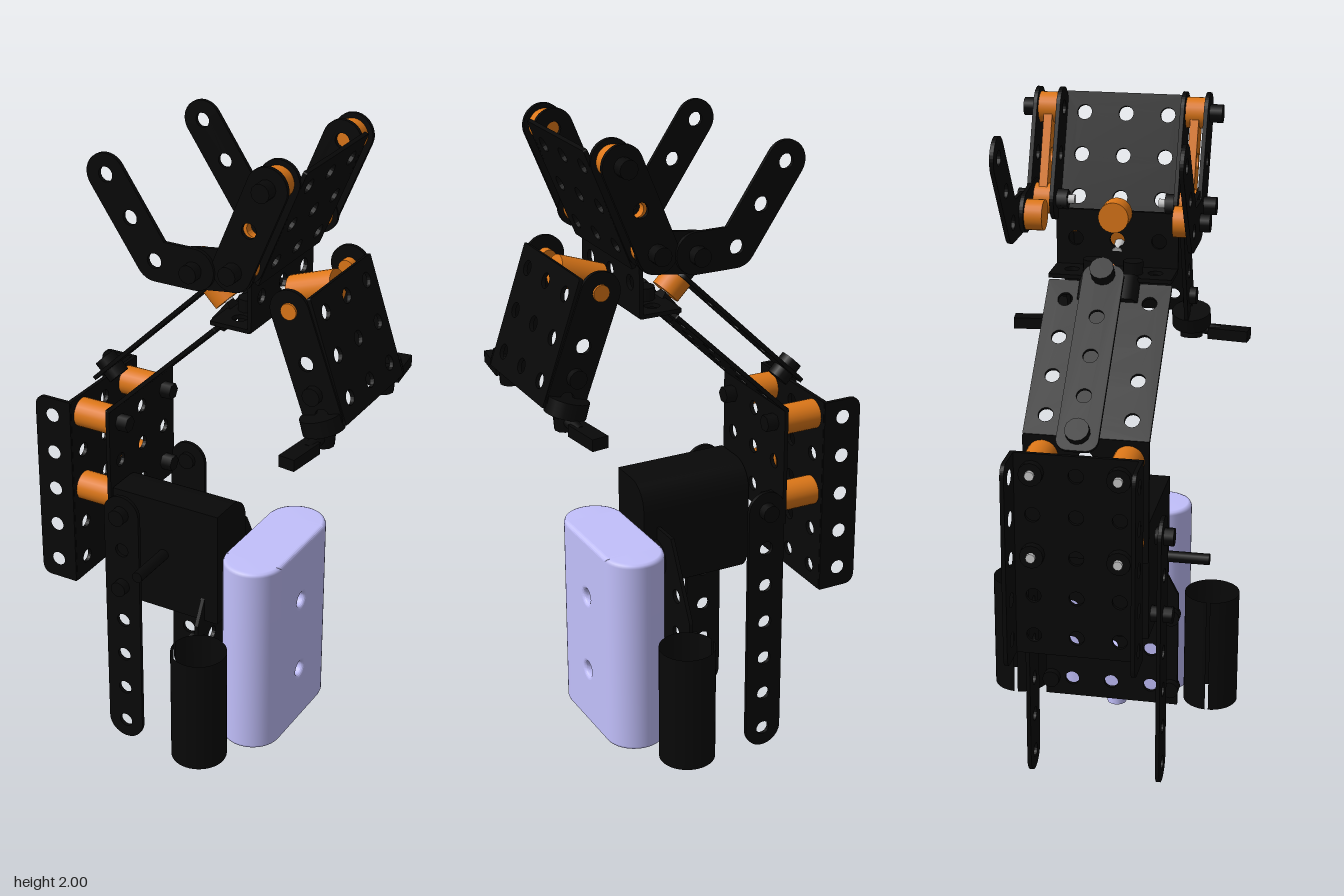
import * as THREE from 'three';

const mat = (color, side = THREE.FrontSide) => new THREE.MeshStandardMaterial({ color, side });
const BLACK = mat(0x080808), ORANGE = mat(0xdd7718), LILAC = mat(0xc2c0fc), GREY = mat(0xcccccc);
const THIN = mat(0x080808, THREE.DoubleSide);
const T = 0.012, PITCH = 0.125, HOLE = 0.022, Z0 = -0.012;
const V = (x, y, z = 0) => new THREE.Vector3(x, y, z);

export function createModel() {
  const root = new THREE.Group();

  const add = (name, geo, material = BLACK) => {
    const m = new THREE.Mesh(geo, material);
    m.name = name;
    root.add(m);
    return m;
  };
  const punch = (shape, x, y, r = HOLE) => {
    const p = new THREE.Path();
    p.absarc(x, y, r, 0, Math.PI * 2, true);
    shape.holes.push(p);
  };
  const extrude = (shape, depth = T) =>
    new THREE.ExtrudeGeometry(shape, { depth, bevelEnabled: false, curveSegments: 10 }).translate(0, 0, -depth / 2);

  // cylinder between two points
  const rod = (name, a, b, r, material = BLACK, sides = 24) => {
    const d = b.clone().sub(a);
    const m = add(name, new THREE.CylinderGeometry(r, r, d.length(), sides), material);
    m.position.copy(a).addScaledVector(d, 0.5);
    m.quaternion.setFromUnitVectors(V(0, 1, 0), d.normalize());
    return m;
  };

  // flat bar with rounded ends, lying in an xy plane at depth z
  const strip = (name, a, b, z, material = BLACK, thickness = T, r = 0.06) => {
    const L = Math.hypot(b[0] - a[0], b[1] - a[1]);
    const s = new THREE.Shape();
    s.absarc(L, 0, r, -Math.PI / 2, Math.PI / 2, false);
    s.absarc(0, 0, r, Math.PI / 2, Math.PI * 1.5, false);
    const n = Math.max(1, Math.round(L / PITCH));
    for (let i = 0; i <= n; i++) punch(s, (L * i) / n, 0);
    const m = add(name, extrude(s, thickness), material);
    m.position.set(a[0], a[1], z);
    m.rotation.z = Math.atan2(b[1] - a[1], b[0] - a[0]);
    return m;
  };

  // perforated sheet: runs from a to b in xy, and across z
  const sheet = (name, a, b, half = 0.183, cols = [-PITCH, 0, PITCH], r = 0.005) => {
    const dir = V(b[0] - a[0], b[1] - a[1]), L = dir.length();
    const s = new THREE.Shape();
    s.moveTo(-half + r, 0).lineTo(half - r, 0);
    s.absarc(half - r, r, r, -Math.PI / 2, 0, false);
    s.absarc(half - r, L - r, r, 0, Math.PI / 2, false);
    s.absarc(-half + r, L - r, r, Math.PI / 2, Math.PI, false);
    s.absarc(-half + r, r, r, Math.PI, Math.PI * 1.5, false);
    const n = Math.floor((L - 0.06) / PITCH) + 1, start = (L - (n - 1) * PITCH) / 2;
    for (const c of cols) for (let i = 0; i < n; i++) punch(s, c, start + i * PITCH);
    const m = add(name, extrude(s));
    const u = V(0, 0, 1);
    dir.normalize();
    m.setRotationFromMatrix(new THREE.Matrix4().makeBasis(u, dir, u.clone().cross(dir)));
    m.position.set(a[0], a[1], Z0);
    return m;
  };
  const sides = (f) => [1, -1].forEach((k) => f(k, (d) => Z0 + k * d));

  // legs with their bolts
  for (const z of [0.201, -0.192]) {
    strip('leg', [-0.2, 0.06], [-0.2, 0.81], z);
    const k = Math.sign(z);
    rod('legBolt', V(-0.2, 0.81, z - k * 0.02), V(-0.2, 0.81, z + k * 0.035), 0.027, BLACK, 12);
  }

  // rear channel: web and two flanges with clipped outer corners
  sheet('rearWeb', [-0.395, 0.5], [-0.395, 1.12]);
  sides((k, z) => {
    const s = new THREE.Shape();
    s.moveTo(-0.39, 0.5).lineTo(-0.48, 0.5).quadraticCurveTo(-0.512, 0.5, -0.512, 0.54);
    s.lineTo(-0.512, 1.08).quadraticCurveTo(-0.512, 1.12, -0.48, 1.12).lineTo(-0.39, 1.12);
    for (let i = 0; i < 5; i++) punch(s, -0.452, 0.565 + i * PITCH);
    add('rearFlange', extrude(s)).position.z = z(0.183);
    // spacers joining the rear channel to the arm
    for (const y of [0.815, 1.065]) {
      rod('rearSpacer', V(-0.39, y, z(PITCH)), V(-0.265, y, z(PITCH)), 0.045, ORANGE);
      rod('spacerNut', V(-0.26, y, z(PITCH)), V(-0.22, y, z(PITCH)), 0.026, BLACK, 6);
      rod('spacerBolt', V(-0.425, y, z(PITCH)), V(-0.395, y, z(PITCH)), 0.035, BLACK, 12);
      rod('boltTip', V(-0.436, y, z(PITCH)), V(-0.42, y, z(PITCH)), 0.014, GREY, 10);
    }
  });

  // bent arm and end bracket
  sheet('armBase', [-0.262, 0.75], [-0.262, 1.125]);
  sheet('arm', [-0.262, 1.12], [0.1, 1.47]);
  sheet('armBracketFloor', [0.085, 1.487], [0.212, 1.487]);
  sheet('armBracketWall', [0.21, 1.485], [0.21, 1.66]);
  for (const d of [-0.06, 0.06]) {
    rod('bracketBolt', V(0.14, 1.45, Z0 + d), V(0.14, 1.53, Z0 + d), 0.03, BLACK, 12);
    rod('bracketNut', V(0.05, 1.43, Z0 + d), V(0.1, 1.49, Z0 + d), 0.03, BLACK, 6);
  }

  // link bar above the arm, with spacer and nuts
  sheet('linkBar', [-0.4, 1.135], [0.02, 1.545], 0.06, [0], 0.035);
  rod('linkSpacer', V(-0.005, 1.525, Z0), V(0.042, 1.478, Z0), 0.045, ORANGE);
  rod('linkBolt', V(-0.035, 1.555, Z0), V(0.0, 1.52, Z0), 0.035, BLACK, 12);
  rod('linkNut', V(-0.385, 1.195, Z0), V(-0.335, 1.145, Z0), 0.035, BLACK, 12);
  rod('linkScrew', V(0.04, 1.48, Z0), V(0.1, 1.42, Z0), 0.014, GREY, 10);

  // motor housing rounded on its far side, with output shaft
  const motor = new THREE.Shape();
  motor.moveTo(-0.17, 0.5).lineTo(-0.08, 0.5).absarc(-0.08, 0.58, 0.08, -Math.PI / 2, 0, false);
  motor.absarc(-0.08, 0.79, 0.08, 0, Math.PI / 2, false);
  motor.lineTo(-0.17, 0.87);
  const housing = add('motorHousing', extrude(motor, 0.36));
  housing.rotation.y = Math.PI / 2;
  housing.position.x = -0.07;
  rod('motorShaft', V(-0.075, 0.69, 0.15), V(-0.075, 0.69, 0.322), 0.017, BLACK, 16);
  rod('motorBolt', V(-0.2, 0.56, 0.16), V(-0.2, 0.56, 0.235), 0.025, BLACK, 12);

  // backing plate behind the battery, with a sloped top
  const back = new THREE.Shape();
  back.moveTo(-0.21, 0.12).lineTo(0.21, 0.12).lineTo(0.21, 0.5).lineTo(0.09, 0.73);
  back.lineTo(-0.09, 0.73).lineTo(-0.21, 0.5);
  for (const z of [-PITCH, 0, PITCH]) for (let i = 0; i < 4; i++) punch(back, z, 0.18 + i * PITCH);
  const backPlate = add('batteryPlate', extrude(back));
  backPlate.rotation.y = Math.PI / 2;
  backPlate.position.x = 0.06;
  rod('plateSpacer', V(0.05, 0.63, 0), V(0.13, 0.63, 0), 0.06);
  for (const y of [0.18, 0.43]) for (const k of [1, -1])
    rod('plateBolt', V(0.03, y, k * 0.19), V(0.07, y, k * 0.19), 0.027, BLACK, 12);

  // split tubes either side of the battery
  for (const k of [1, -1]) {
    const tube = add('sideTube', new THREE.CylinderGeometry(0.084, 0.084, 0.37, 40, 1, true, -Math.PI / 2 + 0.06, Math.PI * 2 - 0.12), THIN);
    tube.position.set(0.124, 0.305, k * 0.305);
  }

  // battery: drilled middle, rounded ends, plug
  const slab = new THREE.Shape();
  slab.moveTo(-0.13, 0.132).lineTo(0.13, 0.132).lineTo(0.13, 0.73).lineTo(-0.13, 0.73);
  punch(slab, 0, 0.305, 0.034);
  punch(slab, 0, 0.555, 0.034);
  const cell = add('batteryMiddle', new THREE.ExtrudeGeometry(slab, {
    depth: 0.161, bevelThickness: 0.012, bevelSize: 0.012, bevelSegments: 4, curveSegments: 16,
  }).translate(0, 0, -0.0805), LILAC);
  cell.rotation.y = Math.PI / 2;
  cell.position.x = 0.212;
  const profile = [[0, 0.12], [0.0805, 0.12], [0.089, 0.1235], [0.0925, 0.132], [0.0925, 0.73], [0.089, 0.7385], [0.0805, 0.742], [0, 0.742]]
    .map((p) => new THREE.Vector2(...p));
  for (const k of [1, -1]) {
    const end = add('batteryEnd', new THREE.LatheGeometry(profile, 24, k > 0 ? -Math.PI / 2 : Math.PI / 2, Math.PI), LILAC);
    end.position.set(0.212, 0, k * 0.13);
  }
  rod('batteryPlug', V(0.153, 0.06, 0), V(0.153, 0.13, 0), 0.03, LILAC);

  // upper head: bent side bars, channel and spacers
  sheet('headWeb', [0.23, 1.63], [0.37, 1.975]);
  sides((k, z) => {
    strip('foreBar', [-0.19, 1.895], [-0.04, 1.675], z(0.26));
    strip('lowerBar', [-0.04, 1.675], [0.085, 1.675], z(0.26));
    strip('lowerBar', [0.085, 1.675], [0.2, 1.69], z(0.248));
    strip('headFlange', [0.195, 1.69], [0.298, 1.94], z(0.183));
    strip('headOuterBar', [0.195, 1.69], [0.298, 1.94], z(0.252));
    strip('headInsert', [0.2, 1.69], [0.293, 1.93], z(0.217), ORANGE, 0.025, 0.035);
    for (const [x, y] of [[0.08, 1.67], [0.2, 1.69], [0.298, 1.94]]) {
      rod('headSpacer', V(x, y, z(0.19)), V(x, y, z(0.247)), 0.045, ORANGE);
      rod('headBolt', V(x, y, z(0.25)), V(x, y, z(0.295)), 0.027, BLACK, 12);
    }
    rod('headScrew', V(0.2, 1.69, z(0.125)), V(0.2, 1.69, z(0.15)), 0.014, GREY, 10);
    rod('headNut', V(0.2, 1.69, z(0.145)), V(0.2, 1.69, z(0.18)), 0.03, BLACK, 6);

    // lower jaw side, tip roller and claw
    strip('jawFlange', [0.335, 1.58], [0.442, 1.29], z(0.183));
    rod('jawBolt', V(0.415, 1.35, z(0.17)), V(0.415, 1.35, z(0.21)), 0.027, BLACK, 12);
    rod('jawInsert', V(0.335, 1.58, z(0.15)), V(0.335, 1.58, z(0.196)), 0.024, ORANGE, 16);
    rod('jawRoller', V(0.437, 1.295, z(0.19)), V(0.45, 1.25, z(0.19)), 0.06);
    rod('clawBolt', V(0.448, 1.25, z(0.19)), V(0.445, 1.21, z(0.19)), 0.035, BLACK, 12);
    rod('clawPin', V(0.45, 1.24, z(0.2)), V(0.445, 1.23, z(0.28)), 0.018, BLACK, 12);
    const claw = add('claw', new THREE.BoxGeometry(0.05, 0.035, 0.125));
    claw.position.set(0.437, 1.228, z(0.31));
    claw.rotation.y = -k * 0.12;
  });
  rod('headCentreSpacer', V(0.14, 1.655, Z0), V(0.205, 1.655, Z0), 0.045, ORANGE);
  sheet('jawWeb', [0.388, 1.625], [0.507, 1.275]);

  // jaw hinge
  rod('hingeSpacer', V(0.25, 1.55, Z0), V(0.385, 1.597, Z0), 0.045, ORANGE);
  rod('hingeScrew', V(0.205, 1.535, Z0), V(0.25, 1.55, Z0), 0.016, GREY, 10);
  return root;
}
